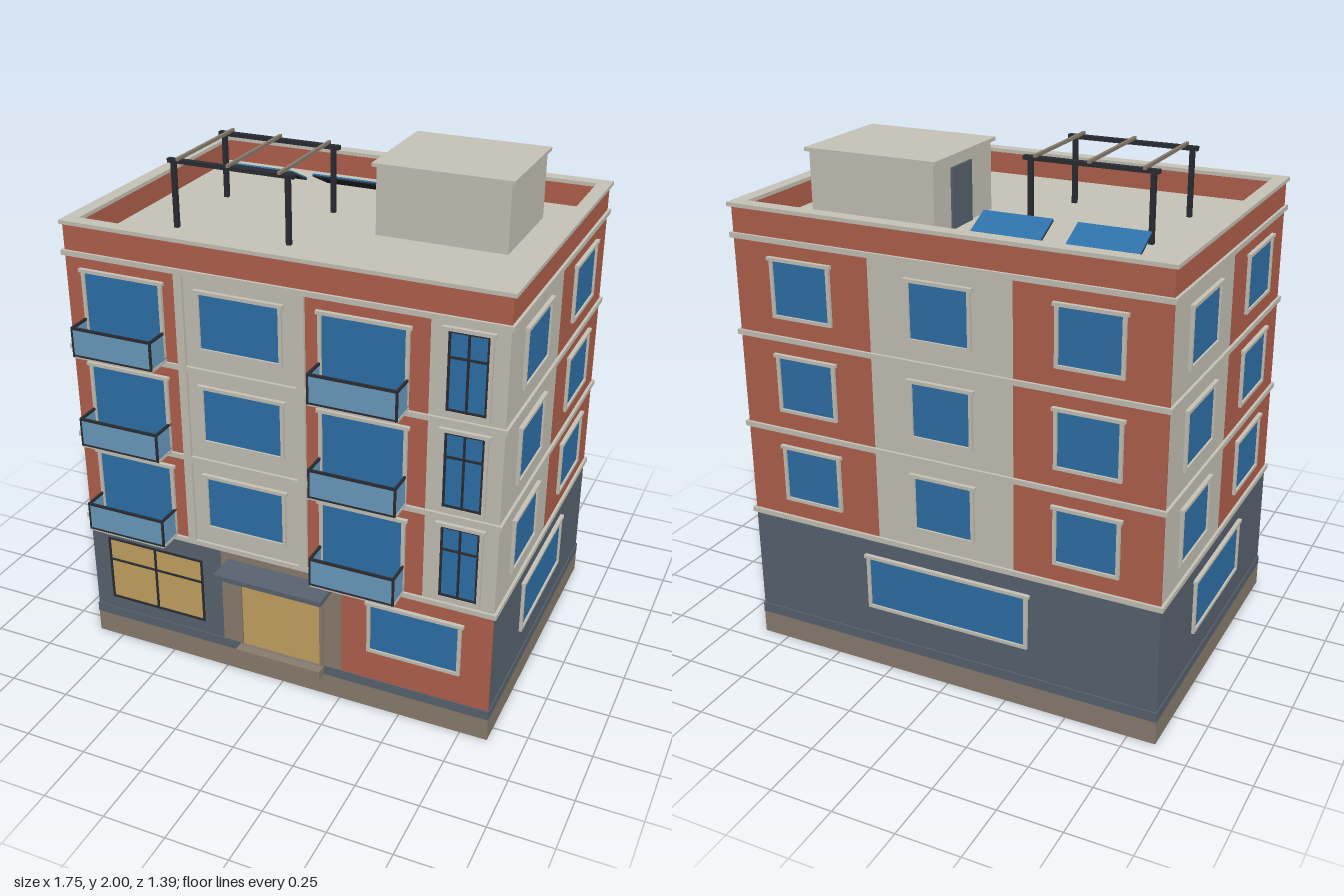
import * as THREE from 'three';

const mat = (name, color) => {
  const m = new THREE.MeshStandardMaterial({ color });
  m.name = name;
  return m;
};

export function createModel() {
  const beige = mat('beige plaster', 0xc8c4b8);
  const red = mat('brick red', 0xb4624d);
  const slate = mat('slate grey', 0x5a6471);
  const taupe = mat('taupe stone', 0x8b7e70);
  const glass = mat('blue glass', 0x2e72aa);
  const paleGlass = mat('pale balcony glass', 0x6c9ec3);
  const amber = mat('amber glass', 0xc8a564);
  const dark = mat('dark metal', 0x2a2d33);

  const model = new THREE.Group();
  model.name = 'apartmentBuilding';

  // Box given by its minimum and maximum on each axis
  const box = (parent, name, m, x0, x1, y0, y1, z0, z1) => {
    const mesh = new THREE.Mesh(new THREE.BoxGeometry(x1 - x0, y1 - y0, z1 - z0), m);
    mesh.position.set((x0 + x1) / 2, (y0 + y1) / 2, (z0 + z1) / 2);
    mesh.name = name;
    parent.add(mesh);
    return mesh;
  };
  const group = (parent, name) => {
    const g = new THREE.Group();
    g.name = name;
    parent.add(g);
    return g;
  };

  const W = 0.857, F = 0.572, B = -0.68, T = 0.006;
  const floors = [0.58, 0.957, 1.335];

  // Core, base and plinth
  box(model, 'core', beige, -W + T, W - T, 0.09, 1.72, B + T, F - T);
  box(model, 'base', taupe, -0.86, 0.86, 0, 0.095, -0.684, 0.575);
  box(model, 'plinth', slate, -0.861, 0.861, 0.095, 0.135, -0.685, 0.576);

  // Cornice bands between floors
  for (const y of [0.56, 0.936, 1.314, 1.692])
    box(model, 'corniceBand', beige, -0.868, 0.868, y, y + 0.02, -0.691, 0.583);

  // Parapet with coping
  const ring = (name, m, x, zb, zf, w, y0, y1) => {
    const g = group(model, name);
    box(g, 'frontRun', m, -x, x, y0, y1, zf - w, zf);
    box(g, 'backRun', m, -x, x, y0, y1, zb, zb + w);
    box(g, 'leftRun', m, x - w, x, y0, y1, zb + w, zf - w);
    box(g, 'rightRun', m, -x, -x + w, y0, y1, zb + w, zf - w);
  };
  ring('parapet', red, W, B, F, 0.04, 1.71, 1.81);
  ring('coping', beige, 0.869, -0.693, 0.578, 0.055, 1.81, 1.825);

  // Each wall is a group: x along it, z outwards from its face
  const wall = (name, x, z, turn) => {
    const g = group(model, name);
    g.position.set(x, 0, z);
    g.rotation.y = turn;
    return g;
  };
  const front = wall('frontWall', 0, F, 0);
  const back = wall('backWall', 0, B, Math.PI);
  const leftSide = wall('leftWall', W, 0, Math.PI / 2);
  const rightSide = wall('rightWall', -W, 0, -Math.PI / 2);

  const panel = (w, name, m, x0, x1, y0, y1) => box(w, name, m, x0, x1, y0, y1, -T, 0);

  // Pane with a raised frame and a wider head moulding
  const opening = (w, name, x0, x1, y0, y1, pane = glass, trim = beige) => {
    const g = group(w, name), t = 0.013, d = 0.012;
    box(g, 'pane', pane, x0, x1, y0, y1, 0, 0.004);
    box(g, 'jambA', trim, x0 - t, x0, y0, y1, 0, d);
    box(g, 'jambB', trim, x1, x1 + t, y0, y1, 0, d);
    box(g, 'sill', trim, x0 - t, x1 + t, y0 - t, y0, 0, d);
    box(g, 'head', trim, x0 - t - 0.008, x1 + t + 0.008, y1, y1 + t, 0, d + 0.004);
    return g;
  };
  // Thin dark frame with a centre mullion and one transom
  const mullions = (g, x0, x1, y0, y1, yt) => {
    const t = 0.008, c = (x0 + x1) / 2;
    for (const x of [x0 + t / 2, c, x1 - t / 2]) box(g, 'mullion', dark, x - t / 2, x + t / 2, y0, y1, 0.004, 0.01);
    for (const y of [y0 + t / 2, yt, y1 - t / 2]) box(g, 'transom', dark, x0, x1, y - t / 2, y + t / 2, 0.004, 0.009);
  };
  // Balcony: slab, glass panels, dark posts and rails
  const balcony = (w, x0, x1, y) => {
    const g = group(w, 'balcony'), d = 0.108, t = 0.008, top = y + 0.12;
    box(g, 'slab', beige, x0, x1, y - 0.004, y + 0.008, 0, d);
    box(g, 'frontGlass', paleGlass, x0 + 0.003, x1 - 0.003, y + 0.008, top - 0.01, d - 0.006, d - 0.001);
    for (const x of [x0, x1 - t]) {
      box(g, 'sideGlass', paleGlass, x + 0.002, x + 0.006, y + 0.008, top - 0.01, 0, d - 0.006);
      box(g, 'sideRail', dark, x, x + t, top - 0.01, top, 0, d - t);
      box(g, 'post', dark, x, x + t, y, top - 0.01, d - t, d);
    }
    box(g, 'frontRail', dark, x0, x1, top - 0.01, top, d - t, d);
    box(g, 'bottomRail', dark, x0, x1, y + 0.003, y + 0.01, d - t, d + 0.001);
  };

  // Front, ground floor
  panel(front, 'slateCladding', slate, -W, -0.261, 0.135, 0.56);
  panel(front, 'entranceCladding', taupe, -0.261, 0.256, 0.095, 0.56);
  panel(front, 'redCladding', red, 0.256, W, 0.135, 0.56);
  const shop = opening(front, 'shopWindow', -0.77, -0.35, 0.2, 0.48, amber, dark);
  shop.children.filter((c) => c.name !== 'pane').forEach((c) => c.removeFromParent());
  mullions(shop, -0.777, -0.343, 0.195, 0.485, 0.382);
  opening(front, 'entranceDoor', -0.17, 0.167, 0.138, 0.473, amber, taupe);
  box(front, 'doorStep', taupe, -0.183, 0.183, 0.095, 0.135, 0, 0.05);
  box(front, 'canopy', slate, -0.23, 0.223, 0.503, 0.523, 0, 0.12);
  opening(front, 'groundWindow', 0.378, 0.727, 0.282, 0.485);

  // Front, upper floors
  panel(front, 'redBayA', red, -W, -0.395, 0.58, 1.695);
  panel(front, 'redBayB', red, 0.115, 0.58, 0.58, 1.695);
  panel(front, 'middleBay', beige, -0.395, 0.115, 0.58, 1.695);
  panel(front, 'endBay', beige, 0.58, W, 0.58, 1.695);
  for (const x of [-0.395, 0.085]) box(front, 'pilaster', beige, x, x + 0.033, 0.58, 1.695, 0, 0.012);
  for (const y of floors) {
    for (const x of [-0.775, 0.183]) {
      opening(front, 'balconyWindow', x, x + 0.313, y + 0.03, y + 0.302);
      balcony(front, x - 0.012, x + 0.326, y);
    }
    opening(front, 'middleWindow', -0.297, 0.018, y + 0.083, y + 0.297);
    const slim = opening(front, 'slimWindow', 0.645, 0.79, y + 0.03, y + 0.327);
    mullions(slim, 0.645, 0.79, y + 0.03, y + 0.327, y + 0.23);
  }

  // Side walls, mirrored in colour: the pattern runs the same way round
  for (const [w, s] of [[leftSide, -1], [rightSide, 1]]) {
    const span = (a, b) => (s > 0 ? [a, b] : [-b, -a]);
    const [frontBay, backBay] = s < 0 ? [beige, red] : [red, beige];
    panel(w, 'groundCladding', slate, ...span(B + T, F - T), 0.135, 0.56);
    panel(w, 'frontBay', frontBay, ...span(-0.055, F - T), 0.58, 1.695);
    panel(w, 'backBay', backBay, ...span(B + T, -0.055), 0.58, 1.695);
    opening(w, 'groundWindow', ...span(-0.307, 0.2), 0.272, 0.478);
    for (const y of floors) {
      opening(w, 'sideWindow', ...span(0.12, 0.393), y + 0.083, y + 0.292);
      opening(w, 'sideWindow', ...span(-0.505, -0.228), y + 0.083, y + 0.292);
    }
  }

  // Back wall
  panel(back, 'groundCladding', slate, -W, W, 0.135, 0.56);
  [red, beige, red].forEach((m, i) => {
    const x = -W + (i * 2 * W) / 3;
    panel(back, 'backBay', m, x, x + (2 * W) / 3, 0.58, 1.695);
    for (const y of floors) opening(back, 'backWindow', (i - 1) * 0.572 - 0.115, (i - 1) * 0.572 + 0.115, y + 0.083, y + 0.292);
  });
  opening(back, 'groundWindow', -0.33, 0.33, 0.272, 0.478);

  // Roof stair house
  const house = group(model, 'stairHouse');
  box(house, 'stairHouseWalls', beige, 0.137, 0.657, 1.715, 1.986, -0.455, -0.012);
  box(house, 'stairHouseRoof', beige, 0.122, 0.67, 1.986, 2, -0.468, 0);
  box(house, 'stairHouseDoor', slate, 0.129, 0.137, 1.72, 1.95, -0.33, -0.18);

  // Pergola
  const pergola = group(model, 'pergola');
  for (const z of [-0.185, 0.215]) {
    box(pergola, 'beam', dark, -0.61, -0.087, 1.974, 1.99, z - 0.011, z + 0.011);
    for (const x of [-0.588, -0.114]) box(pergola, 'post', dark, x - 0.009, x + 0.009, 1.715, 1.975, z - 0.009, z + 0.009);
  }
  for (const x of [-0.56, -0.35, -0.14]) box(pergola, 'slat', taupe, x - 0.006, x + 0.006, 1.988, 2, -0.207, 0.237);

  // Solar panels tilted towards the back
  for (const x of [-0.508, -0.138]) {
    const g = group(model, 'solarPanel');
    g.position.set(x, 1.772, -0.41);
    g.rotation.x = -0.45;
    box(g, 'panelFace', glass, -0.137, 0.137, 0, 0.006, -0.082, 0.082);
    box(g, 'panelBacking', dark, -0.137, 0.137, -0.006, 0, -0.082, 0.082);
  }

  return model;
}
